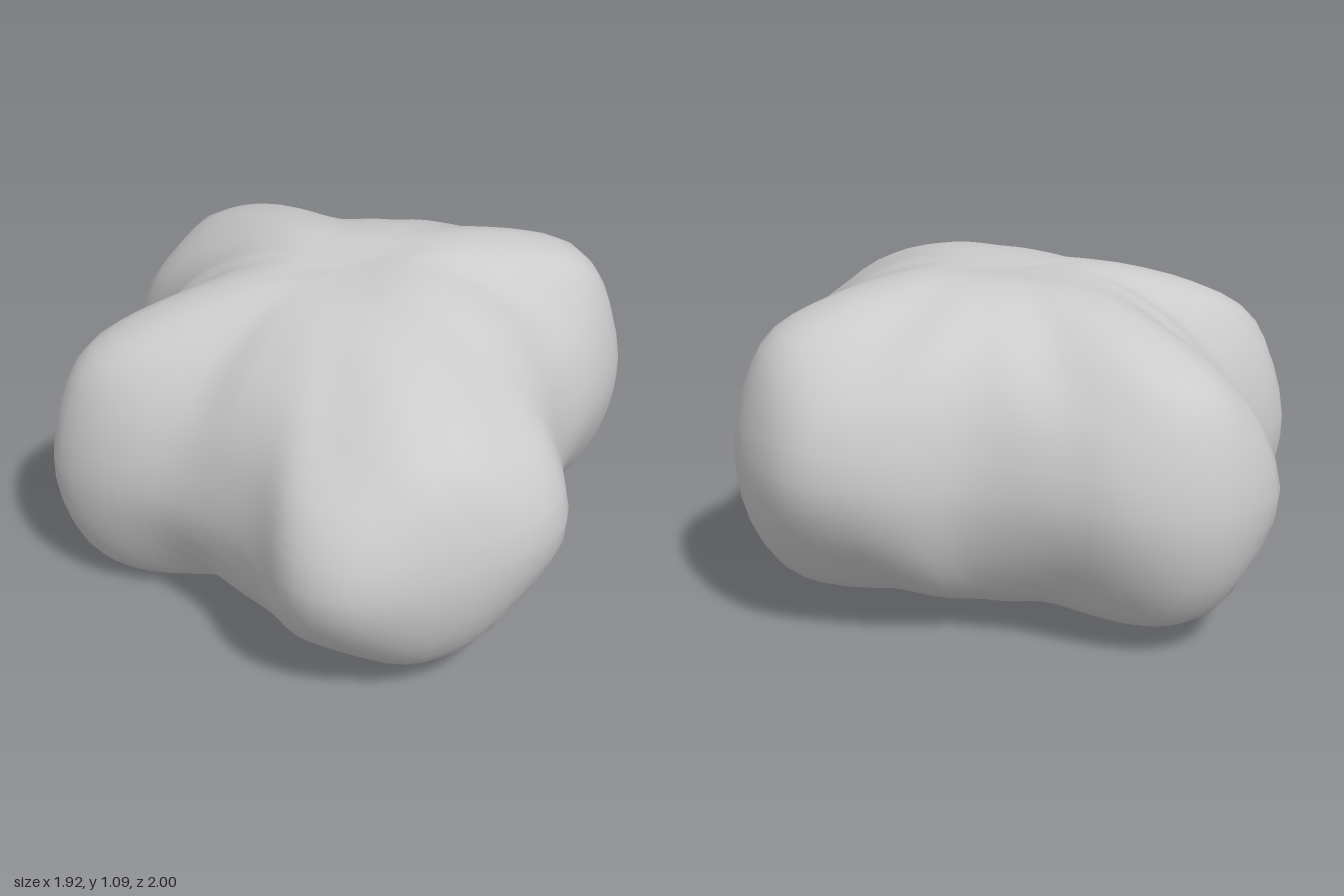
import * as THREE from 'three';
import { mergeVertices } from 'three/addons/utils/BufferGeometryUtils.js';

const { lerp, smoothstep } = THREE.MathUtils;

// Widest contour of the four lobes, as x, z pairs, clockwise seen from above
const OUTLINE = [
  [-0.19, -1], [0.01, -0.99], [0.18, -0.89], [0.3, -0.73], [0.49, -0.51], [0.67, -0.44],
  [0.8, -0.36], [0.93, -0.21], [0.96, -0.02], [0.93, 0.16], [0.8, 0.31], [0.53, 0.52],
  [0.43, 0.66], [0.32, 0.89], [0.18, 0.97], [0, 0.995], [-0.42, 0.94], [-0.55, 0.8],
  [-0.57, 0.55], [-0.62, 0.38], [-0.7, 0.22], [-0.91, -0.04], [-0.96, -0.2], [-0.87, -0.37],
  [-0.68, -0.43], [-0.55, -0.53], [-0.44, -0.66], [-0.42, -0.88],
];

// Half section from top centre to bottom centre: height, then the fraction of the
// contour radius along a lobe's axis and on its rounder flanks
const SECTION = [
  [1.055, 0, 0], [1.062, 0.15, 0.13], [1.065, 0.3, 0.26], [1.035, 0.5, 0.43], [0.97, 0.71, 0.59],
  [0.88, 0.87, 0.75], [0.73, 0.955, 0.92], [0.51, 1, 1], [0.31, 0.97, 0.92], [0.14, 0.87, 0.74],
  [0.07, 0.72, 0.56], [0.045, 0.5, 0.38], [0.035, 0.25, 0.19], [0.035, 0, 0],
];

// Directions of the lobes: back, left, front, right
const AXES = [[-0.1, -1], [0.95, 0.08], [-0.1, 1], [-0.95, -0.2]].map(([x, z]) => new THREE.Vector2(x, z));

function lobedBody() {
  const around = 96, down = 32, spread = 5;
  const ring = new THREE.CatmullRomCurve3(
    OUTLINE.map(([x, z]) => new THREE.Vector3(x, 0, z)), true, 'centripetal').getSpacedPoints(around);
  const section = new THREE.CatmullRomCurve3(
    SECTION.map(([y, axis, flank]) => new THREE.Vector3(axis, y, flank))).getPoints(down);

  // Softened contour for the inner part of the top and the underside
  const soft = Array.from({ length: around }, (_, i) => {
    const mean = new THREE.Vector3();
    for (let k = -spread; k <= spread; k++) mean.add(ring[(i + k + around) % around]);
    return mean.divideScalar(2 * spread + 1);
  });
  // Roundness: none on a lobe's axis, most at its corners, less in the valleys
  const flankness = ring.map((p) => {
    const direction = new THREE.Vector2(p.x, p.z);
    const angle = Math.min(...AXES.map((axis) => direction.angleTo(axis)));
    return smoothstep(angle, 0.05, 0.44) * (1 - 0.4 * smoothstep(angle, 0.45, 0.75));
  });

  const positions = [], index = [];
  section.forEach((s, j) => {
    const pole = j === 0 || j === down;
    for (let i = 0; i < around; i++) {
      const f = pole ? 0 : lerp(s.x, s.z, flankness[i]);
      const p = soft[i].clone().lerp(ring[i], smoothstep(f, 0.3, 1)).multiplyScalar(f);
      const upper = smoothstep(s.y, 0.5, 1);
      // rise toward the left, droop of the front lobe, sag under the right lobe
      const rise = lerp(0.07, p.x > 0 ? 0.09 : 0.06, upper) * p.x;
      const droop = 0.045 * upper * Math.max(0, p.z) ** 1.5;
      const sag = s.y < 0.3 ? 0.012 * Math.exp(-((p.x + 0.55) ** 2 + (p.z + 0.13) ** 2) / 0.08) : 0;
      positions.push(p.x, Math.max(0, s.y + rise - droop - sag), p.z);
    }
  });
  for (let j = 0; j < down; j++) {
    for (let i = 0; i < around; i++) {
      const k = (i + 1) % around;
      const a = j * around + i, b = j * around + k, c = a + around, d = b + around;
      if (j > 0) index.push(a, b, c);
      if (j < down - 1) index.push(b, d, c);
    }
  }
  let geometry = new THREE.BufferGeometry();
  geometry.setAttribute('position', new THREE.Float32BufferAttribute(positions, 3));
  geometry.setIndex(index);
  geometry = mergeVertices(geometry, 1e-5); // joins the poles
  geometry.computeVertexNormals();
  return geometry;
}

export function createModel() {
  const group = new THREE.Group();
  const body = new THREE.Mesh(lobedBody(), new THREE.MeshStandardMaterial({ color: 0xcccccc }));
  body.name = 'lobedBody';
  group.add(body);
  return group;
}
